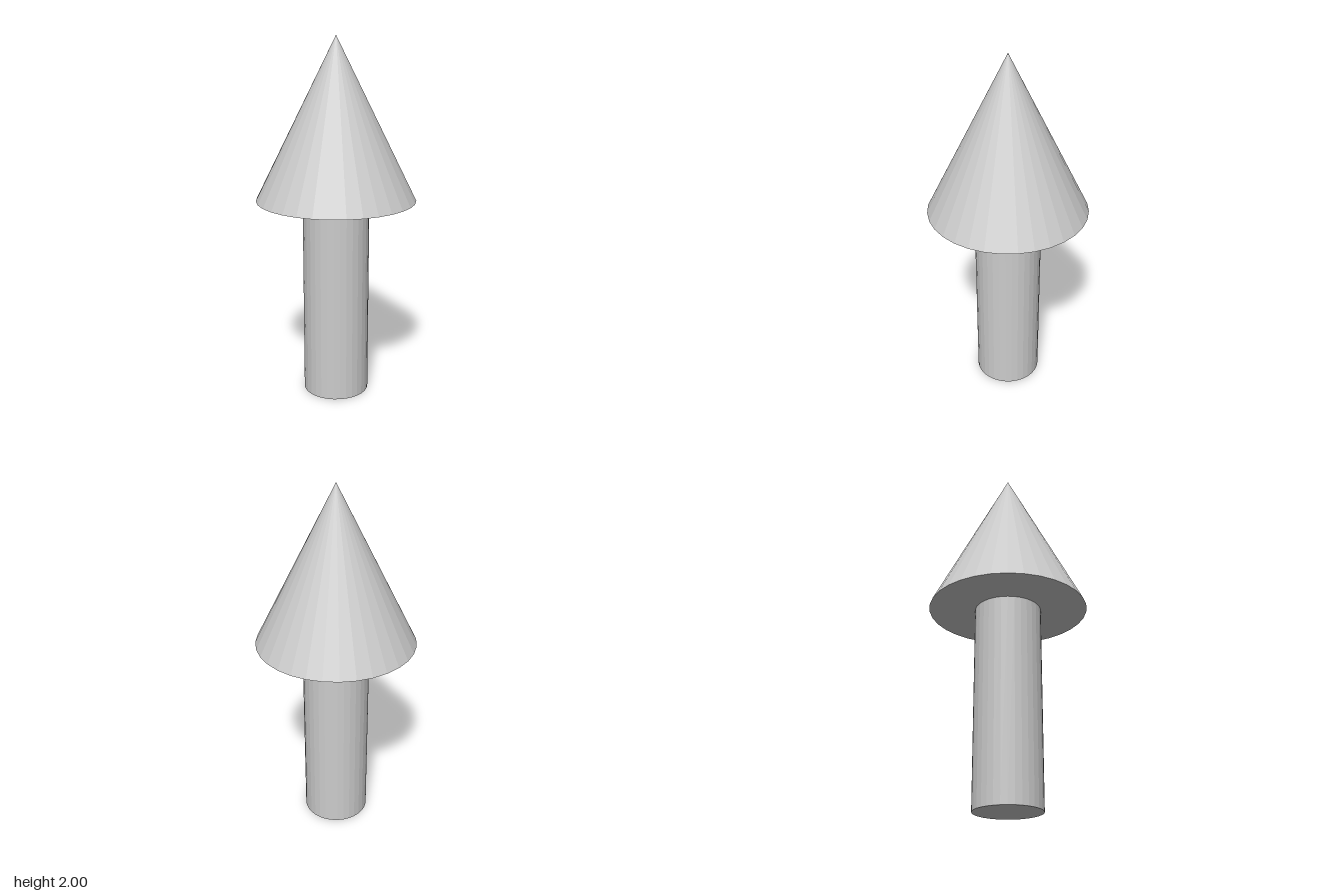
import * as THREE from 'three';

const SIDES = 32;

export function createModel() {
  const group = new THREE.Group();
  const material = new THREE.MeshStandardMaterial({ color: 0xcccccc, flatShading: true });

  const addPart = (name, geometry, y) => {
    const mesh = new THREE.Mesh(geometry, material);
    mesh.name = name;
    mesh.position.y = y;
    group.add(mesh);
  };

  // Round shaft standing on the ground
  const shaftHeight = 1.12;
  addPart('shaft', new THREE.CylinderGeometry(0.184, 0.184, shaftHeight, SIDES), shaftHeight / 2);

  // Pointed head on top of the shaft
  const headHeight = 2 - shaftHeight;
  addPart('head', new THREE.ConeGeometry(0.44, headHeight, SIDES), shaftHeight + headHeight / 2);

  return group;
}
